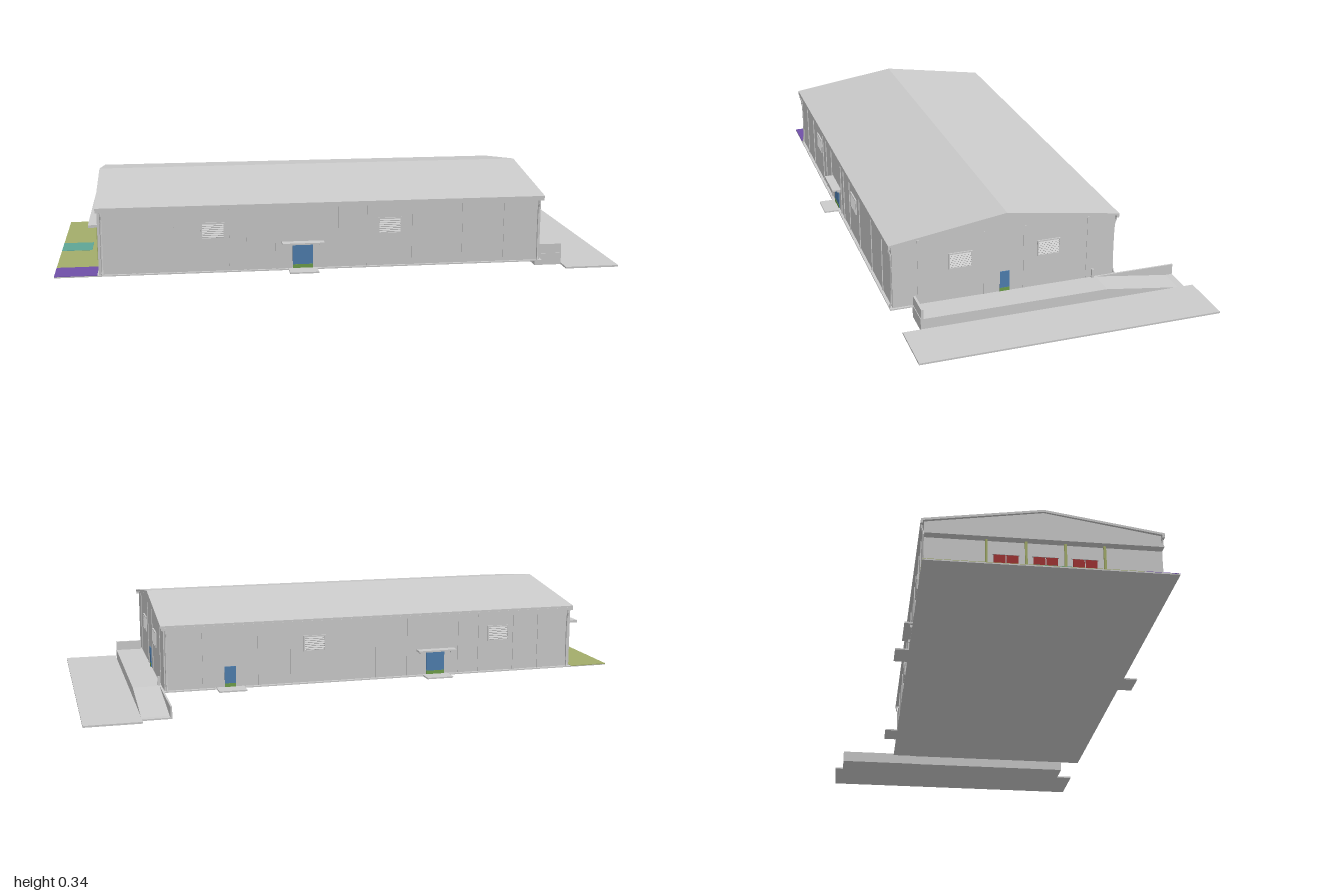
import * as THREE from 'three';

const GREY = 0xcccccc, BLUE = 0x4f7fb0, OLIVE = 0xa3ad6a, PURPLE = 0x7050a8,
  TEAL = 0x5fa595, RED = 0xa03434, GREEN = 0x6fa04a;
const mats = {};
function mat(color) {
  return mats[color] ??= new THREE.MeshStandardMaterial({ color, flatShading: true, side: THREE.DoubleSide });
}

export function createModel() {
  const model = new THREE.Group();

  function add(name, geo, color = GREY, parent = model) {
    const m = new THREE.Mesh(geo, mat(color));
    m.name = name;
    parent.add(m);
    return m;
  }
  // box given by its limits on each axis
  function box(name, x0, x1, y0, y1, z0, z1, color, parent) {
    const m = add(name, new THREE.BoxGeometry(x1 - x0, y1 - y0, z1 - z0), color, parent);
    m.position.set((x0 + x1) / 2, (y0 + y1) / 2, (z0 + z1) / 2);
    return m;
  }
  // outline of [z, y] points extruded along x
  function prism(name, pts, x0, x1, color) {
    const shape = new THREE.Shape(pts.map(([z, y]) => new THREE.Vector2(-z, y)));
    const geo = new THREE.ExtrudeGeometry(shape, { depth: x1 - x0, bevelEnabled: false });
    geo.rotateY(Math.PI / 2);
    geo.translate(x0, 0, 0);
    return add(name, geo, color);
  }
  // group on a wall: local x along the wall, local z pointing outwards
  function onWall(name, x, z, turn) {
    const g = new THREE.Group();
    g.name = name;
    g.position.set(x, 0, z);
    g.rotation.y = turn;
    model.add(g);
    return g;
  }

  const FRONT = 0.49, BACK = -0.297, LEFT = -0.85, RIGHT = 0.7, MID = 0.097, FLOOR = 0.04;

  // floor slab and coloured forecourt
  box('floorSlab', -1, RIGHT + 0.008, 0.036, FLOOR, -0.31, 0.5);
  box('forecourt', -1, LEFT - 0.005, 0.0385, 0.0415, -0.31, 0.385, OLIVE);
  box('cornerPaving', -1, LEFT - 0.005, 0.0385, 0.0415, 0.385, 0.5, PURPLE);
  box('entranceMat', -1, -0.89, 0.041, 0.0425, 0.04, 0.155, TEAL);

  // main hall with gable ends
  prism('walls', [[FRONT, FLOOR], [FRONT, 0.265], [MID, 0.326], [BACK, 0.265], [BACK, FLOOR]], LEFT, RIGHT);
  prism('roof', [[0.502, 0.266], [0.502, 0.274], [MID, 0.335], [-0.308, 0.274], [-0.308, 0.266], [MID, 0.327]], -0.856, 0.71);

  // wall joints along the long sides
  for (const x of [-0.72, -0.59, -0.4, -0.34, -0.24, -0.07, -0.02, 0.08, 0.24, 0.42, 0.57])
    box('frontWallJoint', x - 0.004, x + 0.004, FLOOR, 0.265, FRONT, FRONT + 0.003);
  for (const x of [-0.72, -0.62, -0.48, -0.4, -0.2, -0.08, 0.06, 0.24, 0.36, 0.56])
    box('backWallJoint', x - 0.004, x + 0.004, FLOOR, 0.265, BACK - 0.003, BACK);
  for (const z of [0.4, 0.17, 0.03, -0.2])
    box('gableJoint', RIGHT, RIGHT + 0.002, FLOOR, 0.275, z - 0.004, z + 0.004);

  // gutters and downpipes
  for (const s of [1, -1]) {
    const wall = s > 0 ? FRONT : BACK;
    const z = wall + s * 0.008;
    box('gutter', -0.855, 0.708, 0.258, 0.267, z - 0.004, z + 0.004);
    for (const x of [LEFT + 0.012, RIGHT - 0.008]) {
      const path = new THREE.CatmullRomCurve3([[0.26, z], [0.247, z], [0.235, wall + s * 0.003], [0.06, wall + s * 0.003], [FLOOR, z]]
        .map(([y, pz]) => new THREE.Vector3(x, y, pz)));
      add('downpipe', new THREE.TubeGeometry(path, 16, 0.0035, 6));
    }
  }

  // louvred windows
  function louvre(x, z, turn) {
    const g = onWall('louvredWindow', x, z, turn);
    box('windowPanel', -0.038, 0.038, 0.156, 0.209, -0.002, 0.001, GREY, g);
    for (const s of [-1, 1]) {
      box('windowJamb', s * 0.039 - 0.002, s * 0.039 + 0.002, 0.154, 0.211, 0, 0.005, GREY, g);
      box('windowRail', -0.041, 0.041, 0.1825 + s * 0.027 - 0.002, 0.1825 + s * 0.027 + 0.002, 0, 0.005, GREY, g);
    }
    for (let i = 0; i < 7; i++) {
      const slat = box('slat', -0.037, 0.037, -0.0008, 0.0008, -0.003, 0.003, GREY, g);
      slat.position.set(0, 0.162 + i * 0.0068, 0.003);
      slat.rotation.x = 0.7;
    }
  }
  for (const x of [-0.46, 0.157]) louvre(x, FRONT, 0);
  for (const x of [-0.555, 0.155]) louvre(x, BACK, Math.PI);
  for (const z of [0.256, -0.056]) louvre(RIGHT, z, Math.PI / 2);

  // blue side doors, with step and canopy where needed
  function door(x, z, turn, w, top, step, canopy) {
    const g = onWall('sideDoor', x, z, turn);
    box('doorLeaf', -w, w, FLOOR, top, -0.002, 0.003, BLUE, g);
    box('doorKickPlate', -w, w, FLOOR, FLOOR + 0.014, 0, 0.004, GREEN, g);
    if (step) box('doorStep', -0.05, 0.05, 0.036, 0.041, 0, 0.062, GREY, g);
    if (canopy) {
      box('doorCanopy', -0.073, 0.073, 0.13, 0.136, 0, 0.033, GREY, g);
      for (const s of [-1, 1]) box('canopyBracket', s * 0.06 - 0.002, s * 0.06 + 0.002, 0.12, 0.13, 0, 0.012, GREY, g);
    }
  }
  door(-0.15, FRONT, 0, 0.035, 0.125, true, true);
  door(-0.307, BACK, Math.PI, 0.035, 0.125, true, true);
  door(0.465, BACK, Math.PI, 0.02, 0.115, true, false);
  door(RIGHT, 0.1, Math.PI / 2, 0.017, 0.115, false, false);

  // main entrance on the end wall: red doors, posts, long canopy
  for (const z of [-0.03, 0.1, 0.23]) {
    for (const s of [-1, 1])
      box('entranceDoor', LEFT - 0.004, LEFT + 0.001, FLOOR, 0.155, z + s * 0.021 - 0.019, z + s * 0.021 + 0.019, RED);
    box('doorHead', LEFT - 0.006, LEFT, 0.155, 0.16, z - 0.044, z + 0.044);
  }
  for (const z of [-0.095, 0.035, 0.165, 0.295])
    box('entrancePost', LEFT - 0.014, LEFT - 0.006, FLOOR, 0.205, z - 0.004, z + 0.004, OLIVE);
  prism('endCanopy', [[0.49, 0.206], [0.49, 0.215], [-0.297, 0.215], [-0.297, 0.206]], -0.88, LEFT);

  // loading platform sloping to a ramp at the back
  prism('loadingRamp', [[0.424, 0], [0.424, 0.043], [-0.232, 0.043], [-0.5, 0.005], [-0.525, 0.005], [-0.525, 0]], 0.706, 0.804);
  box('rampSideWall', 0.703, 0.709, 0, 0.043, -0.525, -0.23);
  box('platformEndWall', 0.706, 0.804, 0.04, 0.077, 0.414, 0.422);
  box('platformPost', 0.706, 0.714, 0.04, 0.075, -0.222, -0.214);

  // paved strip beside the ramp
  box('pavedStrip', 0.804, 1, 0, 0.006, -0.557, 0.485);

  return model;
}
